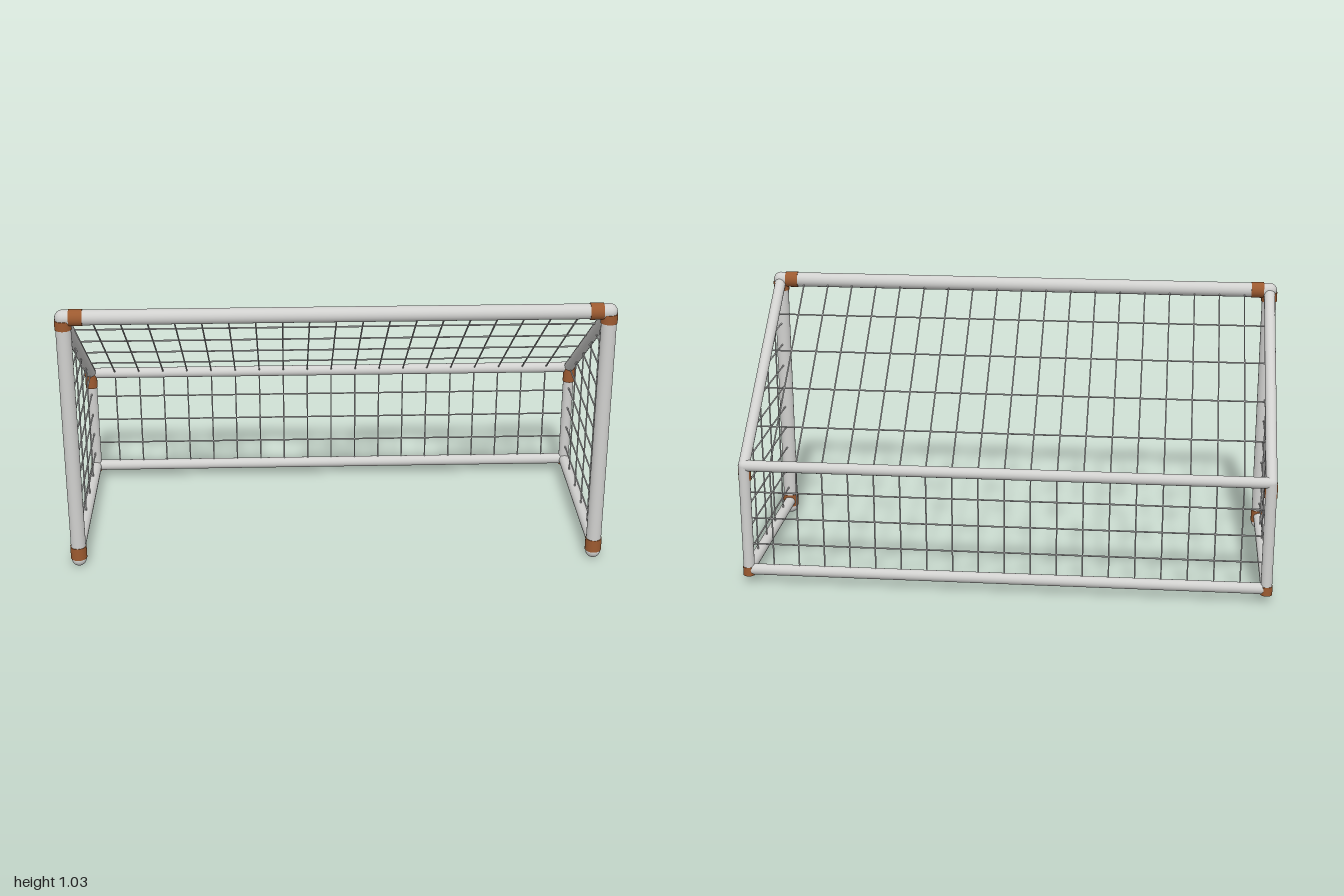
import * as THREE from 'three';

const X = 0.968;                  // half width between post centres
const ZF = 0.36, ZB = -0.367;     // front and back frame planes
const TOP = 0.998, MID = 0.467, LOW = 0.053;
const R = 0.028, r = 0.021, CORD = 0.003, SLEEVE = 0.0305;

export function createModel() {
  const group = new THREE.Group();
  const tubeGrey = new THREE.MeshStandardMaterial({ color: 0xd0d0ce });
  tubeGrey.name = 'tubeGrey';
  const jointBrown = new THREE.MeshStandardMaterial({ color: 0x9c5a30 });
  jointBrown.name = 'jointBrown';
  const netGrey = new THREE.MeshStandardMaterial({ color: 0xd0d0d0 });
  netGrey.name = 'netGrey';

  // Round bar between two points
  function bar(name, a, b, radius, material, parent = group, sides = 24) {
    const from = new THREE.Vector3(...a), to = new THREE.Vector3(...b);
    const dir = to.clone().sub(from);
    const mesh = new THREE.Mesh(new THREE.CylinderGeometry(radius, radius, dir.length(), sides), material);
    mesh.position.copy(from).add(to).multiplyScalar(0.5);
    mesh.quaternion.setFromUnitVectors(new THREE.Vector3(0, 1, 0), dir.normalize());
    mesh.name = name;
    parent.add(mesh);
  }
  function ball(name, p, radius) {
    const mesh = new THREE.Mesh(new THREE.SphereGeometry(radius, 24, 16), tubeGrey);
    mesh.position.set(...p);
    mesh.name = name;
    group.add(mesh);
  }

  // Long bars across the width
  bar('crossbar', [-X, TOP, ZF], [X, TOP, ZF], R, tubeGrey);
  bar('backTopBar', [-X, MID, ZB], [X, MID, ZB], r, tubeGrey);
  bar('backBottomBar', [-X, LOW, ZB], [X, LOW, ZB], r, tubeGrey);

  for (const s of [-1, 1]) {
    const x = s * X;
    const side = s > 0 ? 'left' : 'right';

    // Side frame
    bar(side + 'FrontPost', [x, R, ZF], [x, TOP, ZF], R, tubeGrey);
    ball(side + 'PostCap', [x, TOP, ZF], R + 0.0005);
    ball(side + 'PostFoot', [x, R, ZF], R);
    bar(side + 'BackPost', [x, LOW - r, ZB], [x, MID, ZB], r, tubeGrey);
    ball(side + 'BackCorner', [x, MID, ZB], r);
    bar(side + 'SlopedBar', [x, TOP, ZF], [x, MID, ZB], r, tubeGrey);
    bar(side + 'BottomBar', [x, LOW, ZF], [x, LOW, ZB], r, tubeGrey);

    // Joint sleeves
    bar(side + 'PostTopSleeve', [x, 0.955, ZF], [x, 0.99, ZF], SLEEVE, jointBrown);
    bar(side + 'PostBottomSleeve', [x, 0.032, ZF], [x, 0.081, ZF], SLEEVE, jointBrown);
    bar(side + 'CrossbarSleeve', [s * 0.898, TOP, ZF], [s * 0.946, TOP, ZF], SLEEVE, jointBrown);
    bar(side + 'BackTopSleeve', [x, 0.409, -0.361], [x, 0.466, -0.361], 0.0237, jointBrown);
    bar(side + 'BackBottomSleeve', [x, 0.031, -0.368], [x, 0.065, -0.368], 0.0225, jointBrown);

    // Side net, trimmed by the sloped bar
    const net = new THREE.Group();
    net.name = side + 'SideNet';
    group.add(net);
    for (let i = 0; i < 10; i++) {
      const y = 0.117 + i * 0.088;
      const t = Math.min(1, (TOP - y) / (TOP - MID));
      bar('netCord', [x, y, ZF], [x, y, ZF + (ZB - ZF) * t], CORD, netGrey, net, 6);
    }
    for (let i = 1; i < 5; i++) {
      const t = i / 5, z = ZF + (ZB - ZF) * t;
      bar('netCord', [x, LOW, z], [x, TOP + (MID - TOP) * t, z], CORD, netGrey, net, 6);
    }
  }

  // Flat net panel spanning the width between two bars
  function panel(name, y0, z0, y1, z1, rows) {
    const net = new THREE.Group();
    net.name = name;
    group.add(net);
    for (let i = 1; i < 20; i++) {
      const x = -X + (2 * X * i) / 20;
      bar('netCord', [x, y0, z0], [x, y1, z1], CORD, netGrey, net, 6);
    }
    for (let i = 1; i < rows; i++) {
      const t = i / rows, y = y0 + (y1 - y0) * t, z = z0 + (z1 - z0) * t;
      bar('netCord', [-X, y, z], [X, y, z], CORD, netGrey, net, 6);
    }
  }
  panel('roofNet', TOP, ZF, MID, ZB, 5);
  panel('backNet', MID, ZB, LOW, ZB, 4);

  return group;
}
